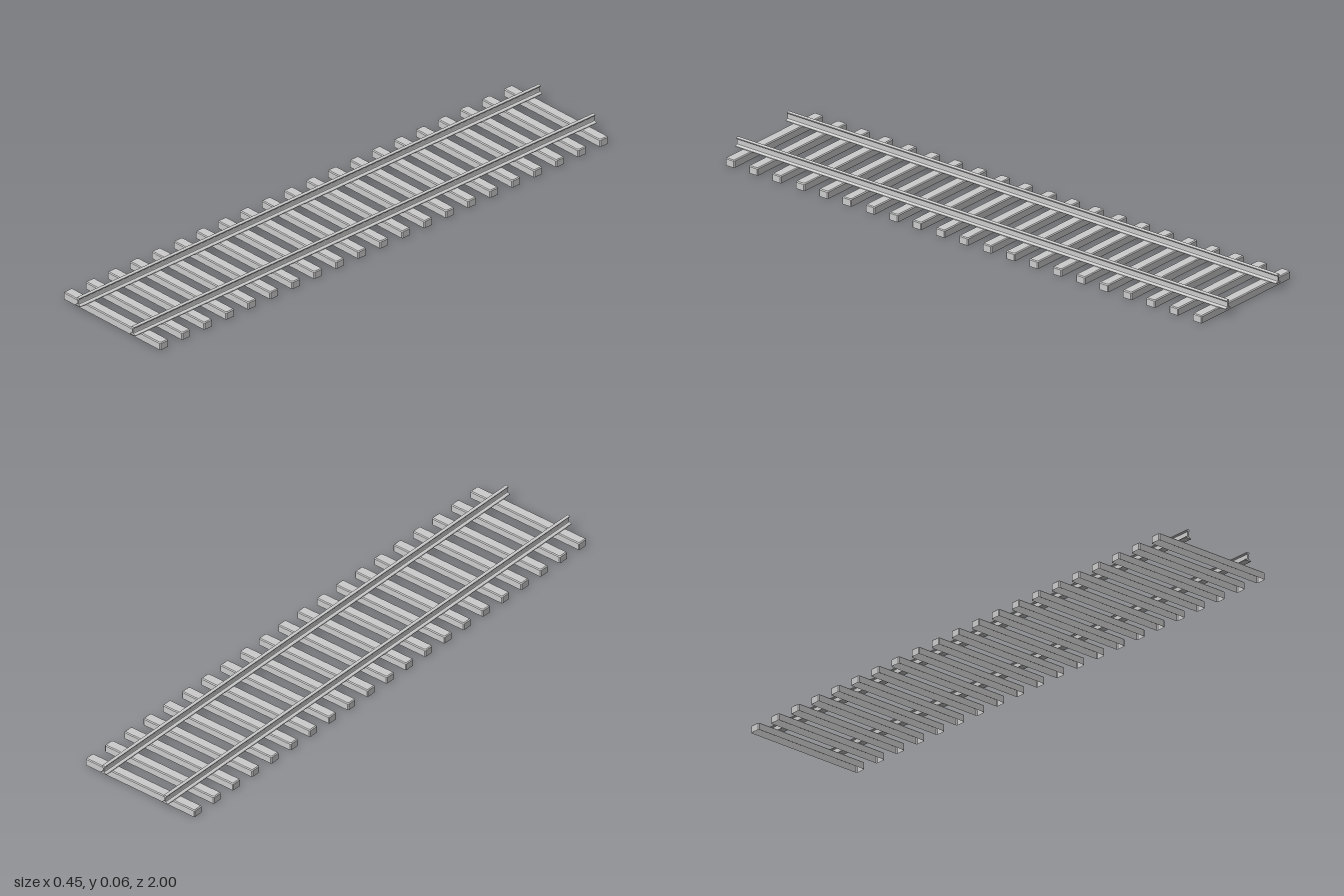
import * as THREE from 'three';

const material = new THREE.MeshStandardMaterial({ color: 0xcccccc, flatShading: true, side: THREE.DoubleSide });

// Sleeper shell: chamfered corners and top edge, open underneath
function sleeperGeometry(w, h, d, c) {
  const outline = (inset, y) => {
    const x = w / 2 - inset, z = d / 2 - inset;
    return [[x, z - c], [x - c, z], [c - x, z], [-x, z - c], [-x, c - z], [c - x, -z], [x - c, -z], [x, c - z]]
      .map(([px, pz]) => [px, y, pz]);
  };
  const rings = [outline(0, 0), outline(0, h - c), outline(c, h)];
  const positions = [], index = [];
  rings.forEach(ring => ring.forEach(p => positions.push(...p)));
  for (let r = 0; r < 2; r++) {
    for (let i = 0; i < 8; i++) {
      const a = r * 8 + i, b = r * 8 + (i + 1) % 8;
      index.push(a, a + 8, b, b, a + 8, b + 8);
    }
  }
  for (let i = 1; i < 7; i++) index.push(16, 16 + i + 1, 16 + i);
  const g = new THREE.BufferGeometry();
  g.setAttribute('position', new THREE.Float32BufferAttribute(positions, 3));
  g.setIndex(index);
  const flat = g.toNonIndexed();
  flat.computeVertexNormals();
  return flat;
}

// Rail section: wide foot, slim web, rounded head
function railGeometry(length) {
  const half = [
    [0.0120, 0.0260], [0.0120, 0.0280], [0.0080, 0.0305], [0.0030, 0.0325],
    [0.0022, 0.0350], [0.0022, 0.0490], [0.0045, 0.0505], [0.0062, 0.0525],
    [0.0062, 0.0545], [0.0045, 0.0562], [0.0020, 0.0570],
  ];
  const mirrored = half.map(([x, y]) => [-x, y]).reverse();
  const shape = new THREE.Shape([...half, ...mirrored].map(([x, y]) => new THREE.Vector2(x, y)));
  const g = new THREE.ExtrudeGeometry(shape, { depth: length, bevelEnabled: false });
  return g.translate(0, 0, -length / 2);
}

export function createModel() {
  const track = new THREE.Group();
  track.name = 'railwayTrack';

  // Evenly spaced sleepers
  const sleepers = new THREE.Group();
  sleepers.name = 'sleepers';
  const sleeperGeo = sleeperGeometry(0.45, 0.026, 0.037, 0.003);
  const count = 21, span = 1.906;
  for (let i = 0; i < count; i++) {
    const sleeper = new THREE.Mesh(sleeperGeo, material);
    sleeper.name = 'sleeper';
    sleeper.position.z = -span / 2 + (i * span) / (count - 1);
    sleepers.add(sleeper);
  }
  track.add(sleepers);

  // Two parallel rails
  const railGeo = railGeometry(2);
  for (const side of [-1, 1]) {
    const rail = new THREE.Mesh(railGeo, material);
    rail.name = side > 0 ? 'leftRail' : 'rightRail';
    rail.position.x = side * 0.127;
    track.add(rail);
  }
  return track;
}
